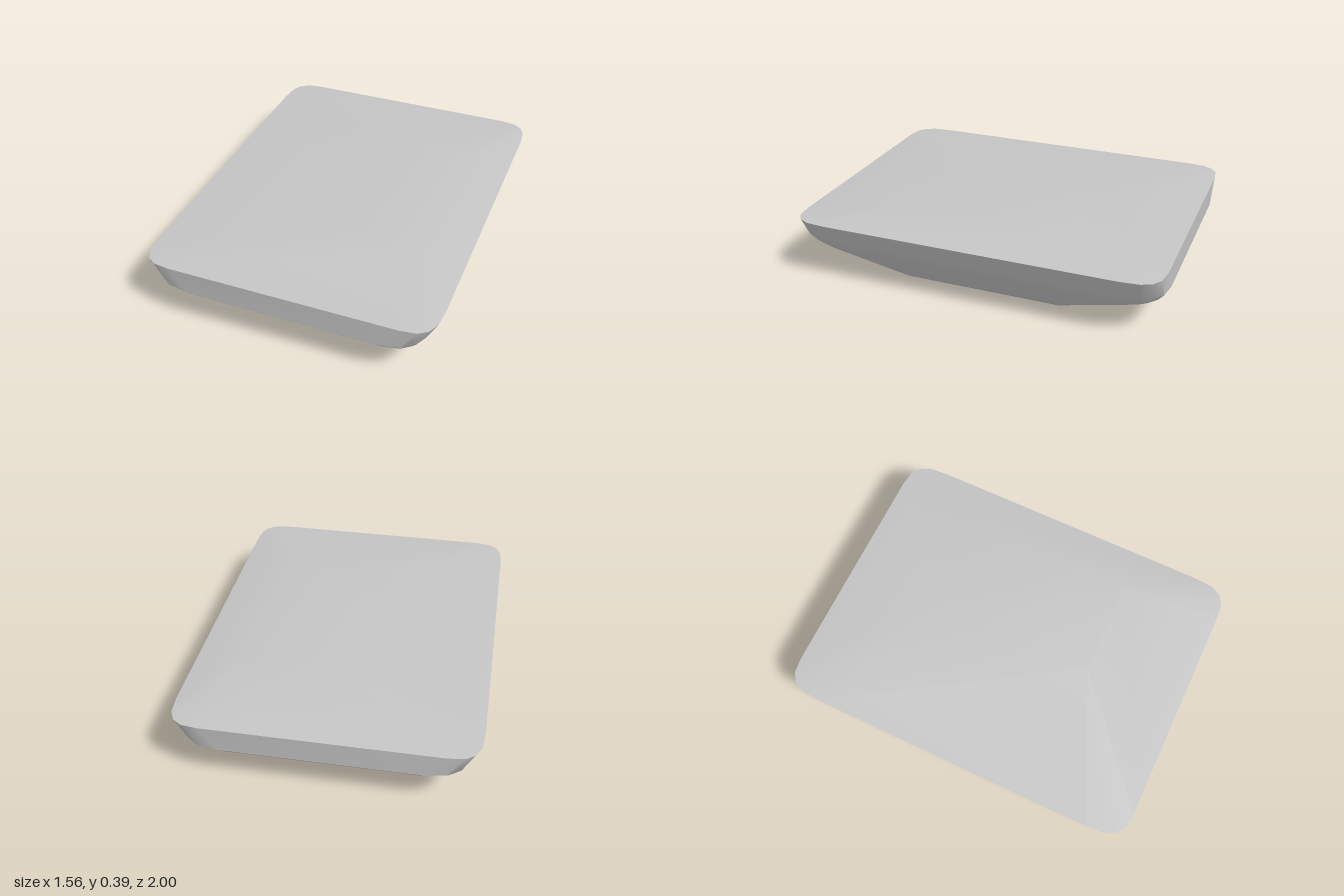
import * as THREE from 'three';
import { toCreasedNormals } from 'three/addons/utils/BufferGeometryUtils.js';

const STEPS = 4; // segments in each rounded corner

// Rounded-rectangle loop from xMin to xMax and -z to z.
// ySide is the height along the long sides, yEnd along the front and back.
function ring({ xMin, xMax, z, rx = 0, rz = 0, ySide, yEnd = ySide }) {
  const points = [];
  for (let corner = 0; corner < 4; corner++) {
    const sx = corner === 0 || corner === 3 ? 1 : -1;
    const sz = corner < 2 ? 1 : -1;
    for (let i = 0; i <= STEPS; i++) {
      const t = (corner % 2 ? STEPS - i : i) / STEPS;
      const a = t * Math.PI / 2;
      const c = Math.max(0, Math.cos(a)) ** 0.7;
      const s = Math.sin(a) ** 0.7;
      const edge = sx > 0 ? xMax : xMin;
      points.push(new THREE.Vector3(
        edge - sx * rx * (1 - c),
        THREE.MathUtils.lerp(ySide, yEnd, t),
        sz * (z - rz * (1 - s))
      ));
    }
  }
  return points;
}

// Skin stacked loops from bottom to top and cap both ends.
function loft(rings) {
  const pos = [];
  const tri = (a, b, c) => {
    const area = b.clone().sub(a).cross(c.clone().sub(a)).length();
    if (area > 1e-7) pos.push(...a.toArray(), ...b.toArray(), ...c.toArray());
  };
  const n = rings[0].length;
  for (let r = 0; r < rings.length - 1; r++) {
    for (let i = 0; i < n; i++) {
      const j = (i + 1) % n;
      const [lo, hi] = [rings[r], rings[r + 1]];
      tri(lo[i], hi[i], lo[j]);
      tri(lo[j], hi[i], hi[j]);
    }
  }
  const bottom = rings[0], top = rings[rings.length - 1];
  for (let i = 1; i < n - 1; i++) {
    tri(bottom[0], bottom[i], bottom[i + 1]);
    tri(top[0], top[i + 1], top[i]);
  }
  const geometry = new THREE.BufferGeometry();
  geometry.setAttribute('position', new THREE.Float32BufferAttribute(pos, 3));
  return toCreasedNormals(geometry, THREE.MathUtils.degToRad(36));
}

export function createModel() {
  const group = new THREE.Group();
  group.name = 'slab';
  const grey = new THREE.MeshStandardMaterial({ color: 0xc4c4c4 });
  grey.name = 'stone grey';

  const body = new THREE.Mesh(loft([
    // flat foot, set towards the left
    ring({ xMin: -0.30, xMax: 0.55, z: 0.43, ySide: 0 }),
    // flared belly
    ring({ xMin: -0.62, xMax: 0.67, z: 0.91, rx: 0.16, rz: 0.18, ySide: 0.155, yEnd: 0.147 }),
    // rounding above the belly
    ring({ xMin: -0.67, xMax: 0.7, z: 0.965, rx: 0.19, rz: 0.2, ySide: 0.195, yEnd: 0.172 }),
    // lower edge of the upright ends
    ring({ xMin: -0.73, xMax: 0.73, z: 1, rx: 0.22, rz: 0.22, ySide: 0.245, yEnd: 0.21 }),
    // widest rim
    ring({ xMin: -0.78, xMax: 0.78, z: 1, rx: 0.17, rz: 0.2, ySide: 0.34 }),
    // low plateau on top
    ring({ xMin: 0, xMax: 0.52, z: 0.46, ySide: 0.39 }),
  ]), grey);
  body.name = 'slabBody';
  group.add(body);
  return group;
}
